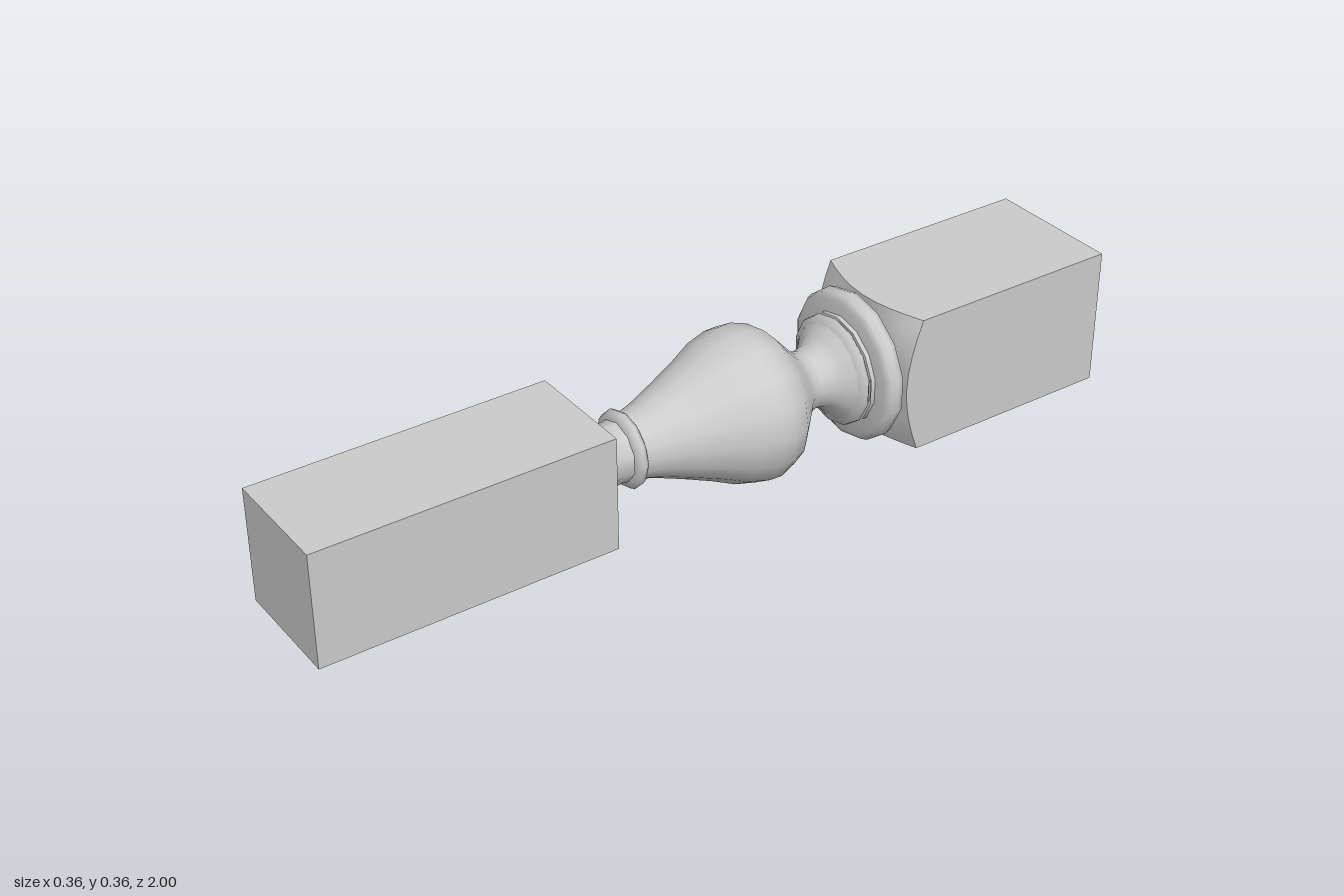
import * as THREE from 'three';

// Turned baluster lying along z, with a square block at each end.
export function createModel() {
  const group = new THREE.Group();
  group.name = 'baluster';
  const material = new THREE.MeshStandardMaterial({ color: 0xcccccc });
  const axisX = -0.004, axisY = 0.183;

  const add = (name, geometry, z = 0) => {
    const mesh = new THREE.Mesh(geometry, material);
    mesh.name = name;
    mesh.position.set(axisX, axisY, z);
    group.add(mesh);
  };

  // Turned part from [radius, z] pairs, listed from back to front.
  const turn = (name, profile, sides) => {
    const points = profile.map(([r, z]) => new THREE.Vector2(r, z));
    const geometry = new THREE.LatheGeometry(points, sides);
    geometry.rotateX(Math.PI / 2);
    add(name, geometry);
  };

  // Smaller square block at the front
  add('frontBlock', new THREE.BoxGeometry(0.274, 0.274, 0.7), 0.65);

  // Larger square block, its inner corners turned back to a shallow cone
  const half = 0.165, length = 0.56;
  const block = new THREE.BoxGeometry(half * 2, half * 2, length, 8, 8, 1);
  const pos = block.attributes.position;
  for (let i = 0; i < pos.count; i++) {
    if (pos.getZ(i) < 0) continue;
    const overhang = Math.max(0, Math.hypot(pos.getX(i), pos.getY(i)) - half);
    pos.setZ(i, length / 2 - overhang * 0.55);
  }
  block.computeVertexNormals();
  add('backBlock', block, -0.72);

  // Short core and large rounded ring against the back block
  turn('backCore', [[0.13, -0.45], [0.13, -0.37]], 14);
  turn('backRing', [
    [0.12, -0.437], [0.158, -0.434], [0.174, -0.424], [0.18, -0.408],
    [0.174, -0.392], [0.16, -0.383], [0.115, -0.38],
  ], 14);

  // Thin collar flaring out of the neck
  turn('collar', [
    [0.1, -0.375], [0.122, -0.371], [0.13, -0.363], [0.128, -0.354], [0.112, -0.347],
  ], 14);

  // Neck, vase-shaped bulb and its long taper
  turn('bulb', [
    [0.115, -0.35], [0.092, -0.33], [0.074, -0.31], [0.067, -0.285],
    [0.072, -0.26], [0.092, -0.238], [0.134, -0.2], [0.165, -0.17],
    [0.179, -0.13], [0.178, -0.1], [0.165, -0.05], [0.141, 0],
    [0.112, 0.07], [0.085, 0.14], [0.072, 0.19],
  ], 16);

  // Small bead
  turn('bead', [
    [0.068, 0.184], [0.084, 0.187], [0.09, 0.198], [0.084, 0.209], [0.068, 0.212],
  ], 12);

  // Flared foot meeting the front block
  turn('foot', [
    [0.072, 0.2], [0.068, 0.225], [0.07, 0.25], [0.08, 0.272], [0.098, 0.288], [0.108, 0.301],
  ], 10);

  return group;
}
